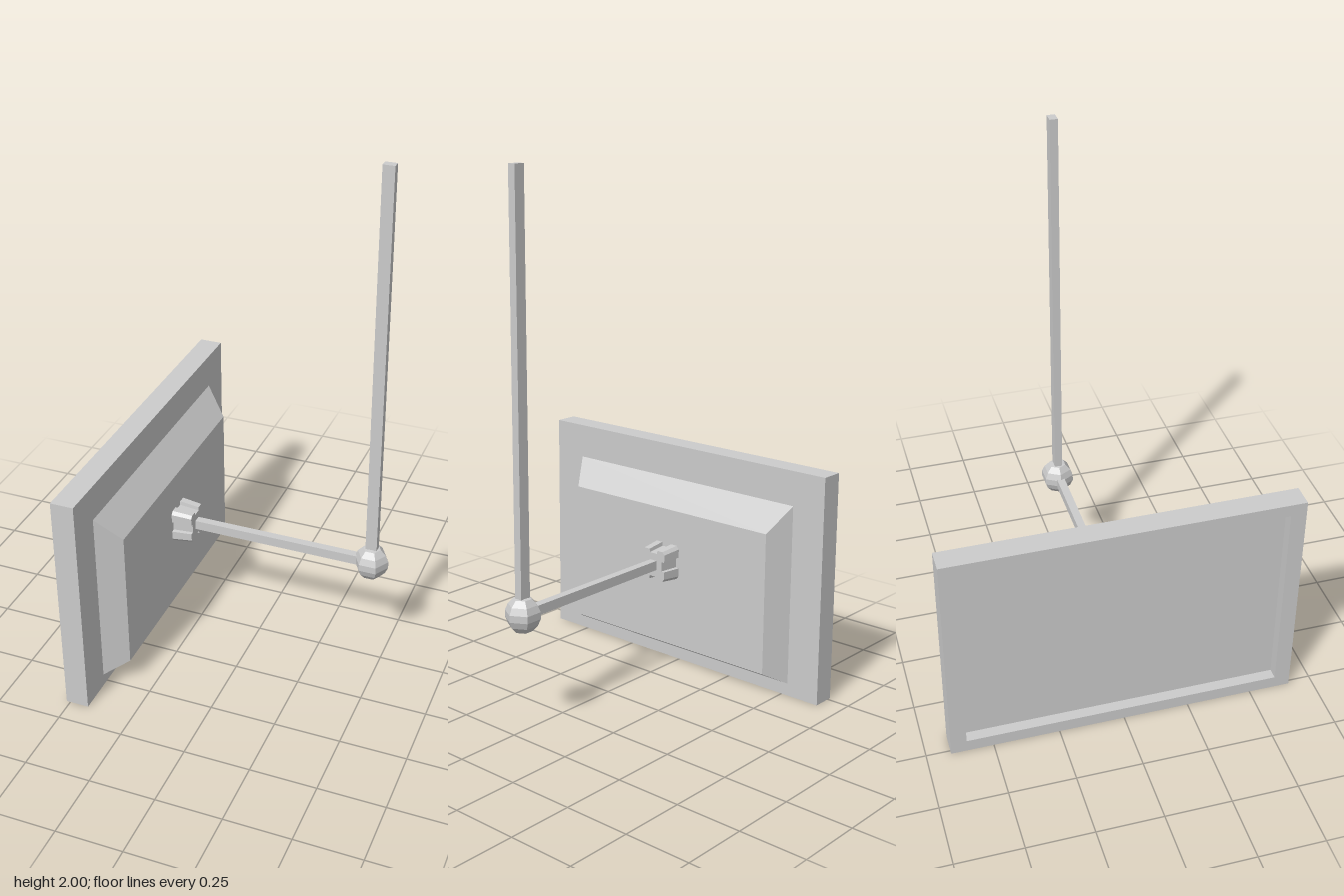
import * as THREE from 'three';

const AXIS_Y = 0.442; // height of the arm
const POLE_X = 0.447;

const material = new THREE.MeshStandardMaterial({ color: 0xcccccc, flatShading: true });

function part(group, name, geometry, x = 0, y = 0, z = 0) {
  const mesh = new THREE.Mesh(geometry, material);
  mesh.name = name;
  mesh.position.set(x, y, z);
  group.add(mesh);
  return mesh;
}

function rectangle(PathType, halfWidth, halfHeight) {
  return new PathType([
    new THREE.Vector2(-halfWidth, -halfHeight), new THREE.Vector2(halfWidth, -halfHeight),
    new THREE.Vector2(halfWidth, halfHeight), new THREE.Vector2(-halfWidth, halfHeight),
  ]);
}

// Extrudes a shape drawn in the z-y plane along +x
function extrudeAlongX(shape, depth) {
  return new THREE.ExtrudeGeometry(shape, { depth, bevelEnabled: false }).rotateY(Math.PI / 2);
}

// Four chamfered corner lobes with a shallow notch in the middle of each side
function bracketShape() {
  const quadrant = [[0.061, 0.022], [0.061, 0.055], [0.05, 0.068], [0.022, 0.068]];
  const points = [];
  [[1, 1], [-1, 1], [-1, -1], [1, -1]].forEach(([sx, sy], i) => {
    const corner = [[0.047, 0.02], ...quadrant, [0.02, 0.053]];
    if (i % 2) corner.reverse();
    corner.forEach(([u, v]) => points.push(new THREE.Vector2(u * sx, v * sy)));
  });
  return new THREE.Shape(points);
}

export function createModel() {
  const model = new THREE.Group();
  model.name = 'hangingMonitor';

  // Screen frame with a recessed panel facing -x
  const frame = rectangle(THREE.Shape, 0.66, 0.44);
  frame.holes.push(rectangle(THREE.Path, 0.6, 0.392));
  part(model, 'screenFrame', extrudeAlongX(frame, 0.088), -0.515, 0.44);
  part(model, 'screenPanel', new THREE.BoxGeometry(0.046, 0.784, 1.2), -0.45, 0.44);

  // Tapered rear housing
  const housing = new THREE.BoxGeometry(0.087, 1, 1);
  const pos = housing.attributes.position;
  for (let i = 0; i < pos.count; i++) {
    const outer = pos.getX(i) > 0;
    pos.setY(i, pos.getY(i) > 0 ? (outer ? 0.648 : 0.747) : (outer ? 0.097 : 0.048));
    pos.setZ(i, Math.sign(pos.getZ(i)) * (outer ? 0.47 : 0.526));
  }
  housing.computeVertexNormals();
  part(model, 'rearHousing', housing, -0.3835);

  // Notched mounting bracket, slightly narrower toward the arm
  const bracket = extrudeAlongX(bracketShape(), 0.08);
  const bp = bracket.attributes.position;
  for (let i = 0; i < bp.count; i++) {
    const s = 1 - 1.4 * bp.getX(i);
    bp.setY(i, bp.getY(i) * s);
    bp.setZ(i, bp.getZ(i) * s);
  }
  bracket.computeVertexNormals();
  part(model, 'mountBracket', bracket, -0.341, AXIS_Y);

  // Horizontal arm and vertical pole
  part(model, 'arm', new THREE.BoxGeometry(0.7, 0.037, 0.031), 0.06, AXIS_Y);
  part(model, 'pole', new THREE.BoxGeometry(0.043, 1.53, 0.03), POLE_X, 1.235);

  // Six-sided ball joint with its corners along x
  const profile = [[0, -0.064], [0.034, -0.06], [0.054, -0.038], [0.065, -0.013],
    [0.065, 0.013], [0.054, 0.038], [0.034, 0.06], [0, 0.064]]
    .map(([r, y]) => new THREE.Vector2(r, y));
  part(model, 'ballJoint', new THREE.LatheGeometry(profile, 6).rotateY(Math.PI / 2), POLE_X, AXIS_Y);

  return model;
}
